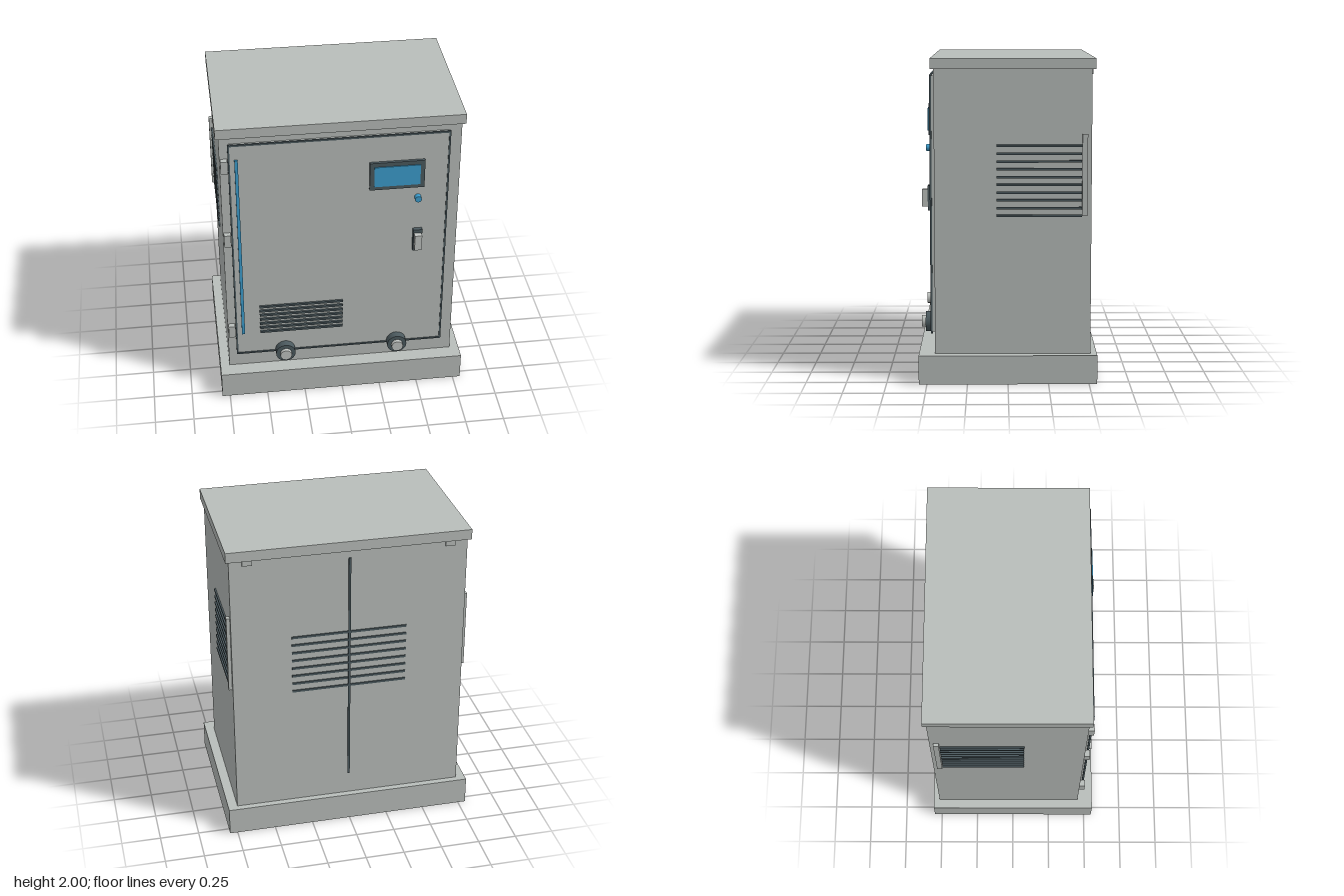
import * as THREE from 'three';

const paint = new THREE.MeshStandardMaterial({ name: 'cabinet grey', color: 0xb9bebb });
const metal = new THREE.MeshStandardMaterial({ name: 'light metal', color: 0xc1c5c2 });
const dark = new THREE.MeshStandardMaterial({ name: 'dark slate', color: 0x4c5a5f });
const blue = new THREE.MeshStandardMaterial({ name: 'signal blue', color: 0x3c9fd0 });

export function createModel() {
  const model = new THREE.Group();
  model.name = 'cabinet';

  // box given by its limits on each axis
  const box = (name, mat, [x0, x1], [y0, y1], [z0, z1], parent = model) => {
    const mesh = new THREE.Mesh(new THREE.BoxGeometry(x1 - x0, y1 - y0, z1 - z0), mat);
    mesh.position.set((x0 + x1) / 2, (y0 + y1) / 2, (z0 + z1) / 2);
    mesh.name = name;
    parent.add(mesh);
    return mesh;
  };
  // cylinder lying along z
  const disc = (name, mat, r, x, y, z0, z1, sides = 24) => {
    const geo = new THREE.CylinderGeometry(r, r, z1 - z0, sides).rotateX(Math.PI / 2);
    const mesh = new THREE.Mesh(geo, mat);
    mesh.position.set(x, y, (z0 + z1) / 2);
    mesh.name = name;
    model.add(mesh);
  };
  // stack of evenly spaced horizontal slats
  const vent = (name, count, xs, [y0, y1], zs, h = 0.014) => {
    const group = new THREE.Group();
    group.name = name;
    for (let i = 0; i < count; i++) {
      const y = y0 + ((y1 - y0 - h) * i) / (count - 1);
      box('slat', dark, xs, [y, y + h], zs, group);
    }
    model.add(group);
  };

  // shell
  box('plinth', paint, [-0.8, 0.8], [0, 0.18], [-0.55, 0.55]);
  box('body', paint, [-0.74, 0.74], [0.18, 1.935], [-0.51, 0.45]);
  box('roof', paint, [-0.76, 0.76], [1.935, 2], [-0.53, 0.47]);

  // door with a dark seal around its edge
  box('door', paint, [-0.68, 0.66], [0.3, 1.89], [0.45, 0.474]);
  for (const x of [-0.689, 0.657]) box('sealSide', dark, [x, x + 0.011], [0.29, 1.896], [0.468, 0.48]);
  for (const y of [0.29, 1.885]) box('sealEdge', dark, [-0.678, 0.657], [y, y + 0.011], [0.468, 0.48]);
  for (const y of [0.44, 1.16, 1.7]) box('hinge', paint, [-0.735, -0.692], [y, y + 0.086], [0.45, 0.486]);
  box('lightStrip', blue, [-0.65, -0.63], [0.46, 1.79], [0.474, 0.487]);

  // display, button and handle
  box('displayFrame', dark, [0.172, 0.514], [1.514, 1.708], [0.474, 0.492]);
  box('displayScreen', blue, [0.2, 0.486], [1.54, 1.68], [0.492, 0.498]);
  disc('button', blue, 0.021, 0.477, 1.433, 0.474, 0.508);
  box('handlePlate', dark, [0.453, 0.511], [1.04, 1.198], [0.474, 0.5]);
  box('handleGrip', metal, [0.459, 0.505], [1.065, 1.174], [0.5, 0.535]);

  // cable glands
  for (const x of [-0.37, 0.367]) {
    disc('glandRing', dark, 0.064, x, 0.303, 0.474, 0.523);
    disc('glandCore', metal, 0.038, x, 0.303, 0.523, 0.548, 12);
  }

  // vents, with an upright bar behind each side vent
  vent('frontVent', 7, [-0.53, 0.01], [0.457, 0.674], [0.474, 0.486]);
  vent('backVent', 8, [-0.365, 0.365], [0.99, 1.385], [-0.517, -0.51]);
  for (const s of [-1, 1]) {
    const span = (a, b) => (s > 0 ? [a, b] : [-b, -a]);
    vent('sideVent', 10, span(0.74, 0.75), [1.035, 1.477], [-0.45, 0.07]);
    box('sideBar', paint, span(0.74, 0.762), [1.042, 1.543], [-0.485, -0.452]);
    box('roofLug', paint, span(0.6, 0.66), [1.9, 1.935], [-0.52, -0.51]);
  }

  // seam between the two rear panels
  box('backSeam', dark, [-0.007, 0.007], [0.33, 1.885], [-0.519, -0.51]);

  return model;
}
